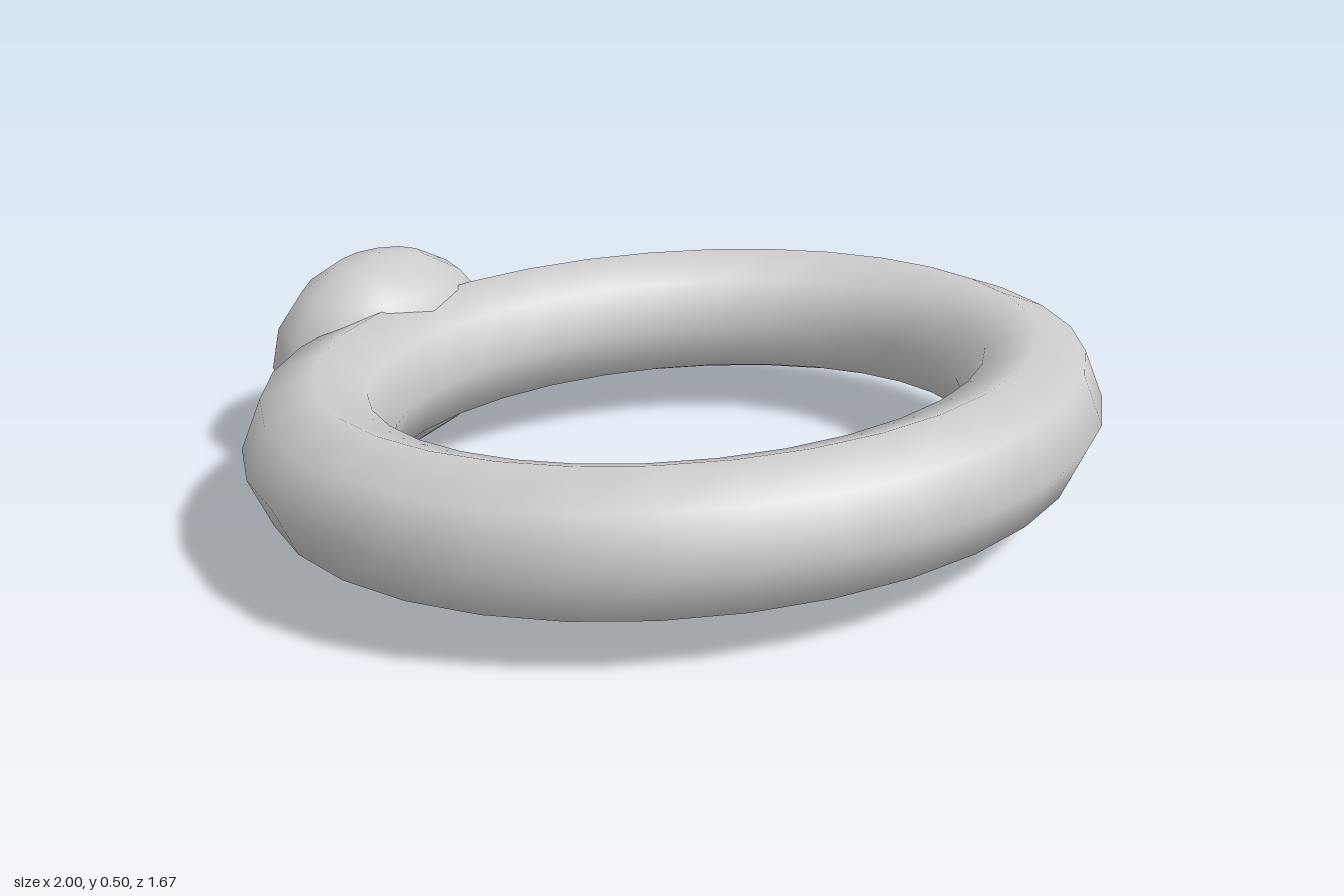
import * as THREE from 'three';
import { mergeVertices } from 'three/addons/utils/BufferGeometryUtils.js';

// Torus whose centre line is stretched to an ellipse while the tube stays round
function ellipticalRing(a, b, tube) {
  const torus = new THREE.TorusGeometry(1, tube, 8, 32).rotateX(-Math.PI / 2);
  const p = torus.attributes.position;
  for (let i = 0; i < p.count; i++) {
    const t = Math.atan2(p.getZ(i), p.getX(i));
    const out = Math.hypot(p.getX(i), p.getZ(i)) - 1;
    const normal = new THREE.Vector2(b * Math.cos(t), a * Math.sin(t)).normalize();
    p.setX(i, a * Math.cos(t) + normal.x * out);
    p.setZ(i, b * Math.sin(t) + normal.y * out);
  }
  // Weld the seams so the shading is smooth all round
  torus.deleteAttribute('uv');
  torus.deleteAttribute('normal');
  const ring = mergeVertices(torus, 1e-4);
  ring.computeVertexNormals();
  return ring;
}

export function createModel() {
  const model = new THREE.Group();
  const grey = new THREE.MeshStandardMaterial({ color: 0xcccccc });
  grey.name = 'light grey';

  // Oval ring lying flat
  const ring = new THREE.Mesh(ellipticalRing(0.838, 0.635, 0.162), grey);
  ring.name = 'ring';
  ring.position.set(0, 0.255, 0.035);

  // Bead half sunk into the back of the ring, long axis along it
  const bead = new THREE.Mesh(new THREE.SphereGeometry(1, 12, 8), grey);
  bead.name = 'bead';
  bead.scale.set(0.302, 0.25, 0.225);
  bead.rotation.y = 0.47;
  bead.position.set(-0.535, 0.255, -0.6);

  model.add(ring, bead);
  return model;
}
